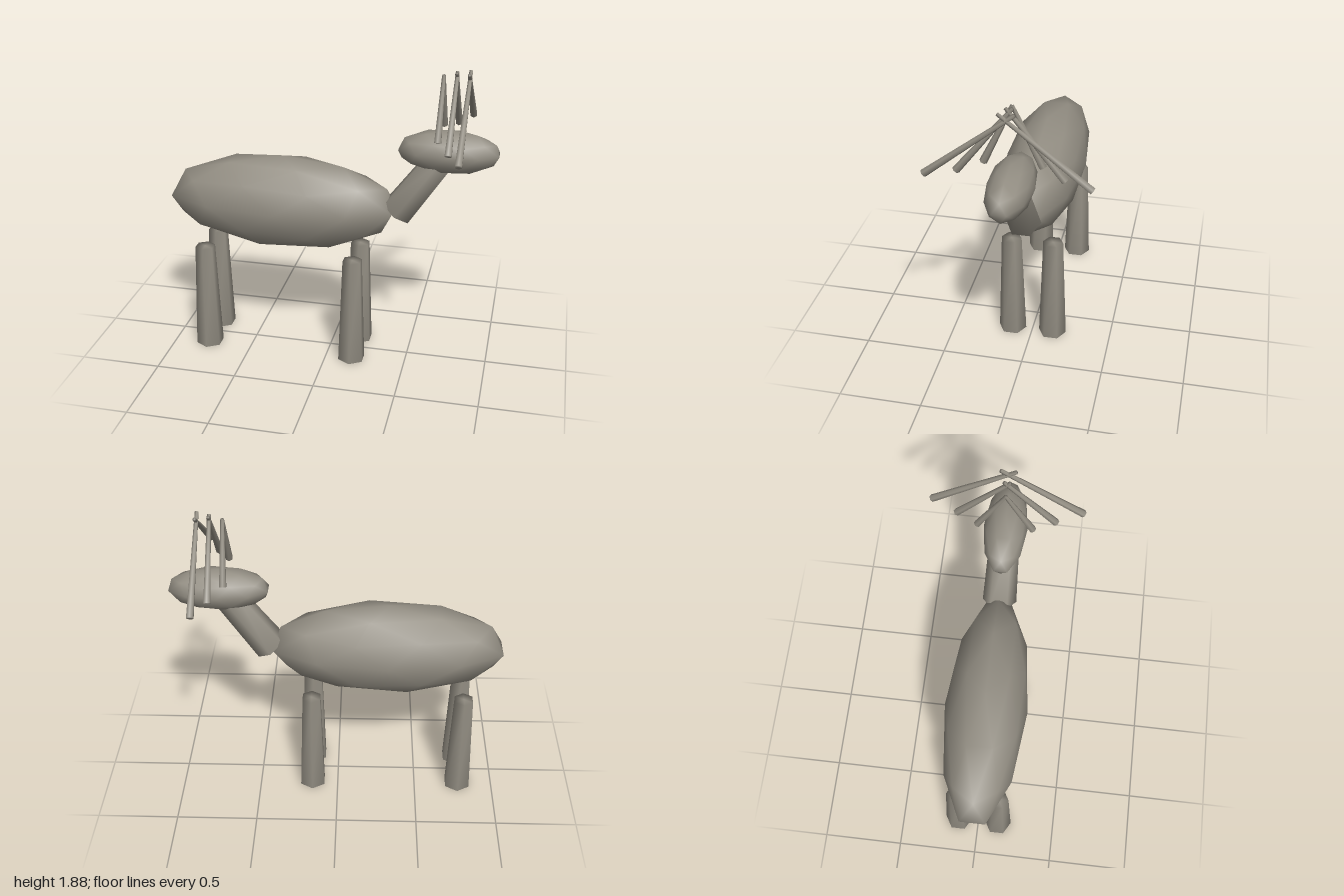
import * as THREE from 'three';
import { mergeVertices } from 'three/addons/utils/BufferGeometryUtils.js';

const hide = new THREE.MeshStandardMaterial({ color: 0x938e83 });
hide.name = 'stone brown';

// Low-poly ellipsoid: an icosphere turned so that one vertex points up and the ring below it leads with +x
function ellipsoid(name, center, radii) {
  const geometry = new THREE.IcosahedronGeometry(1, 1);
  geometry.rotateX(-Math.atan((1 + Math.sqrt(5)) / 2));
  geometry.rotateY(Math.PI / 2);
  geometry.scale(...radii);
  const mesh = new THREE.Mesh(geometry, hide);
  mesh.name = name;
  mesh.position.set(...center);
  return mesh;
}

// Six-sided tapered limb between two points, smoothed over its end caps
function limb(name, from, to, rFrom, rTo) {
  const a = new THREE.Vector3(...from);
  const b = new THREE.Vector3(...to);
  const axis = b.clone().sub(a);
  let geometry = new THREE.CylinderGeometry(rTo, rFrom, axis.length(), 6);
  geometry.deleteAttribute('normal');
  geometry.deleteAttribute('uv');
  geometry = mergeVertices(geometry);
  geometry.computeVertexNormals();
  const mesh = new THREE.Mesh(geometry, hide);
  mesh.name = name;
  mesh.position.copy(a).add(b).multiplyScalar(0.5);
  mesh.quaternion.setFromUnitVectors(new THREE.Vector3(0, 1, 0), axis.normalize());
  return mesh;
}

export function createModel() {
  const model = new THREE.Group();
  model.name = 'deer';

  // Body, head and neck
  model.add(ellipsoid('body', [-0.305, 0.99, 0], [0.731, 0.298, 0.249]));
  model.add(ellipsoid('head', [0.705, 1.395, 0], [0.308, 0.131, 0.131]));
  model.add(limb('neck', [0.41, 0.988, 0], [0.668, 1.357, 0], 0.105, 0.089));

  // Antler tines: x, outer end z and y, inner end z and y
  const tines = [
    [0.655, 0.163, 1.503, 0.0, 1.85],
    [0.73, 0.295, 1.477, -0.018, 1.872],
    [0.803, 0.452, 1.481, -0.045, 1.873],
  ];

  for (const side of [1, -1]) {
    // Legs
    for (const [name, x] of [['hindLeg', -0.778], ['frontLeg', 0.163]]) {
      model.add(limb(name, [x, 0, side * 0.13], [x, 0.69, side * 0.13], 0.0875, 0.0625));
    }
    // Antlers
    const antler = new THREE.Group();
    antler.name = side > 0 ? 'nearAntler' : 'farAntler';
    for (const [x, z0, y0, z1, y1] of tines) {
      antler.add(limb('antlerTine', [x, y0, side * z0], [x, y1, side * z1], 0.0225, 0.0115));
    }
    model.add(antler);
  }
  return model;
}
